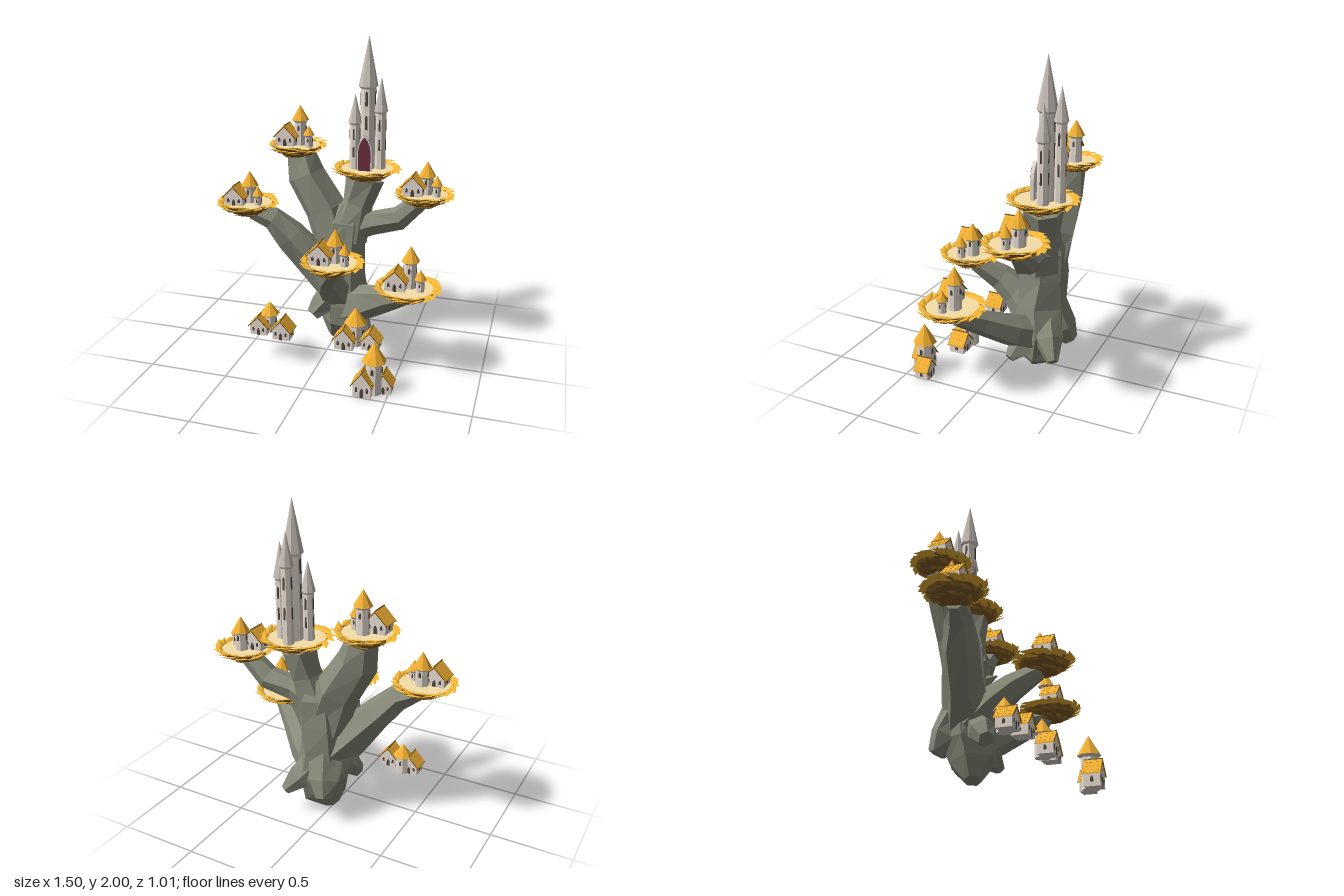
import * as THREE from 'three';
import { mergeGeometries } from 'three/addons/utils/BufferGeometryUtils.js';

const mat = (color, side = THREE.FrontSide) => new THREE.MeshStandardMaterial({ color, side, flatShading: true });
const M = {
  bark: mat(0x888a7a), wall: mat(0xe6dbd0), spire: mat(0xcbc3bb), roof: mat(0xf3b134), trim: mat(0x7a5518),
  window: mat(0x4d443f), gate: mat(0x6c2d3f), floor: mat(0xf6dfa8), leaf: mat(0xf5b736),
  underLeaf: mat(0xa8772c), bowl: mat(0x85602a, THREE.DoubleSide),
};

let seed = 7;
const rnd = () => (seed = (seed * 16807) % 2147483647) / 2147483647;

function add(parent, name, geo, material, x = 0, y = 0, z = 0, ry = 0) {
  const m = new THREE.Mesh(geo, material);
  m.name = name;
  m.position.set(x, y, z);
  m.rotation.y = ry;
  parent.add(m);
  return m;
}

function group(parent, name, x = 0, y = 0, z = 0) {
  const g = new THREE.Group();
  g.name = name;
  g.position.set(x, y, z);
  parent.add(g);
  return g;
}

// Faceted limb through [x, y, z, radius] stations
function limb(stations, sides = 6) {
  const pts = stations.map(s => new THREE.Vector3(s[0], s[1], s[2]));
  const n = pts.length, pos = [], idx = [];
  const all = pts[n - 1].clone().sub(pts[0]).normalize();
  const ref = new THREE.Vector3(Math.abs(all.x) > 0.7 ? 0 : 1, 0, Math.abs(all.x) > 0.7 ? 1 : 0);
  pts.forEach((p, j) => {
    const t = pts[Math.min(j + 1, n - 1)].clone().sub(pts[Math.max(j - 1, 0)]).normalize();
    const u = ref.clone().addScaledVector(t, -ref.dot(t)).normalize();
    const v = t.clone().cross(u);
    for (let i = 0; i < sides; i++) {
      const a = (i + 0.25 * rnd()) / sides * Math.PI * 2;
      const r = stations[j][3] * (0.97 + 0.16 * rnd());
      const q = p.clone().addScaledVector(u, r * Math.cos(a)).addScaledVector(v, r * Math.sin(a));
      pos.push(q.x, q.y, q.z);
    }
  });
  for (let j = 0; j < n - 1; j++) for (let i = 0; i < sides; i++) {
    const k = (i + 1) % sides, a = j * sides + i, b = j * sides + k;
    idx.push(a, b, b + sides, a, b + sides, a + sides);
  }
  for (let i = 1; i < sides - 1; i++) {
    const e = (n - 1) * sides;
    idx.push(0, i + 1, i, e, e + i, e + i + 1);
  }
  const g = new THREE.BufferGeometry();
  g.setAttribute('position', new THREE.Float32BufferAttribute(pos, 3));
  g.setIndex(idx);
  g.computeVertexNormals();
  return g;
}

// Pointed arch slab standing on y = 0
function arch(w, h, depth) {
  const s = new THREE.Shape(), e = Math.max(h - w * 1.1, h * 0.45);
  s.moveTo(-w / 2, 0);
  s.lineTo(w / 2, 0);
  s.lineTo(w / 2, e);
  s.quadraticCurveTo(w * 0.42, e + (h - e) * 0.65, 0, h);
  s.quadraticCurveTo(-w * 0.42, e + (h - e) * 0.65, -w / 2, e);
  return new THREE.ExtrudeGeometry(s, { depth, bevelEnabled: false, curveSegments: 3 });
}

function extrudePoly(points, depth) {
  const g = new THREE.ExtrudeGeometry(new THREE.Shape(points.map(p => new THREE.Vector2(...p))), { depth, bevelEnabled: false });
  return g.translate(0, 0, -depth / 2);
}

// Eight-sided tower: body, short cornice, cone roof and arched windows
function tower(parent, x, y, z, r, bodyH, roofR, roofH, roofMat, winRows, winH) {
  const g = group(parent, 'tower', x, y, z), turn = Math.PI / 8;
  add(g, 'towerWall', new THREE.CylinderGeometry(r * 0.95, r, bodyH, 8), M.wall, 0, bodyH / 2, 0, turn);
  add(g, 'cornice', new THREE.CylinderGeometry(roofR * 0.95, r * 0.94, 0.014, 8), M.wall, 0, bodyH - 0.007, 0, turn);
  add(g, 'towerRoof', new THREE.ConeGeometry(roofR, roofH, 8), roofMat, 0, bodyH + roofH / 2, 0, turn);
  const win = arch(r * 0.32, winH, 0.004), d = r * Math.cos(turn) - 0.002;
  for (const row of winRows) for (let i = 0; i < 4; i++) {
    const a = i * Math.PI / 2;
    add(g, 'towerWindow', win, M.window, Math.sin(a) * d, bodyH * row, Math.cos(a) * d, a);
  }
}

// Gabled cottage, ridge along z; w and d are the roof's footprint
function house(parent, x, y, z, w = 0.148, h = 0.135, d = 0.115) {
  const g = group(parent, 'house', x, y, z), e = h * 0.53, hw = w * 0.41, dw = d * 0.88;
  add(g, 'houseWalls', extrudePoly([[-hw, 0], [hw, 0], [hw, e + 0.001], [0, h - 0.008], [-hw, e + 0.001]], dw), M.wall);
  add(g, 'houseRoof', extrudePoly([[-w / 2, e - 0.012], [-w / 2, e - 0.02], [0, h - 0.011], [w / 2, e - 0.02],
    [w / 2, e - 0.012], [0, h]], d), M.roof);
  // Scattered raised shingles on both slopes
  const slope = Math.atan2(h - e + 0.012, w / 2), shingles = [];
  for (const s of [-1, 1]) for (let i = 0; i < 9; i++) {
    const t = 0.18 + 0.3 * (i % 3) + 0.06 * rnd(), zz = (Math.floor(i / 3) - 1 + 0.4 * (rnd() - 0.5)) * d * 0.3;
    shingles.push(new THREE.BoxGeometry(0.013, 0.004, 0.017).rotateZ(-s * slope)
      .translate(s * t * w / 2, h - t * (h - e + 0.012), zz));
  }
  add(g, 'shingles', mergeGeometries(shingles), M.roof);
  add(g, 'ridge', new THREE.BoxGeometry(0.006, 0.005, d + 0.004), M.trim, 0, h - 0.001, 0);
  for (const s of [-1, 1]) {
    add(g, 'bargeboard', extrudePoly([[-w / 2, e - 0.014], [-w / 2, e - 0.021], [0, h - 0.012], [w / 2, e - 0.021],
      [w / 2, e - 0.014], [0, h - 0.005]], 0.003), M.trim, 0, 0, s * (d / 2 + 0.001));
    const ry = s > 0 ? 0 : Math.PI, zf = s * (dw / 2 - 0.002);
    add(g, 'door', arch(w * 0.15, h * 0.36, 0.004), M.window, 0, 0, zf, ry);
    for (const k of [-1, 1]) add(g, 'houseWindow', arch(w * 0.1, h * 0.2, 0.004), M.window, k * hw * 0.6, h * 0.2, zf, ry);
    add(g, 'sideWindow', arch(0.018, h * 0.22, 0.004), M.window, s * (hw - 0.002), h * 0.15, 0, s * Math.PI / 2);
  }
}

// Ring of broad pointed leaves, swept outwards like a pinwheel
function leafRing(radius, y, count, length, width, lift, sweep = 0.35) {
  const parts = [];
  for (let i = 0; i < count; i++) {
    const leaf = new THREE.OctahedronGeometry(1).scale(length * (0.46 + 0.14 * rnd()), 0.007, width / 2);
    leaf.rotateX(0.3).rotateZ(lift + 0.2 * (rnd() - 0.5)).rotateY(-Math.PI / 2 + sweep + 0.25 * (rnd() - 0.5));
    leaf.translate(radius, y + 0.012 * (rnd() - 0.5), 0).rotateY((i + 0.4 * rnd()) / count * Math.PI * 2);
    parts.push(leaf);
  }
  return mergeGeometries(parts);
}

// Nest platform: bowl, floor and layers of leaves; y is the rim height
function nest(parent, x, y, z, r) {
  const g = group(parent, 'nest', x, y, z), k = r / 0.19;
  const profile = [[0.001, -0.085], [0.06, -0.08], [0.105, -0.058], [0.148, -0.025], [0.165, -0.002]];
  add(g, 'bowl', new THREE.LatheGeometry(profile.map(p => new THREE.Vector2(p[0] * k, p[1])), 14), M.bowl);
  add(g, 'nestFloor', new THREE.CylinderGeometry(0.155 * k, 0.135 * k, 0.012, 18), M.floor, 0, -0.012, 0);
  add(g, 'rimLeaves', leafRing(0.165 * k, 0.004, 18, 0.115 * k, 0.046, 0.12), M.leaf);
  add(g, 'outerLeaves', leafRing(0.165 * k, -0.012, 16, 0.115 * k, 0.044, 0.05, 0.45), M.leaf);
  add(g, 'lowerLeaves', leafRing(0.133 * k, -0.034, 14, 0.095 * k, 0.04, 0.15), M.underLeaf);
  add(g, 'bottomLeaves', leafRing(0.09 * k, -0.063, 11, 0.08 * k, 0.036, 0.15), M.underLeaf);
}

// House, tall tower and small tower on a nest
function hamlet(parent, x, base, z, peak) {
  const g = group(parent, 'hamlet', x, base, z);
  house(g, -0.062, 0, 0.032);
  tower(g, 0.01, -0.02, -0.025, 0.041, peak - 0.077, 0.056, 0.097, M.roof, [0.62], 0.035);
  tower(g, 0.08, -0.01, 0.02, 0.026, 0.078, 0.036, 0.063, M.roof, [0.45], 0.025);
}

export function createModel() {
  const model = new THREE.Group();
  model.name = 'treeTown';

  // Trunk, branches and roots
  const tree = group(model, 'tree');
  const limbs = {
    trunk: [[0.01, 0.02, -0.175, 0.05], [0.05, 0.13, -0.2, 0.14], [0.05, 0.27, -0.215, 0.165], [0.04, 0.45, -0.22, 0.15],
      [0.04, 0.65, -0.235, 0.145], [0.05, 0.82, -0.25, 0.13], [0.06, 0.93, -0.26, 0.06]],
    upperLeftBranch: [[0.0, 0.62, -0.23, 0.13], [-0.09, 0.88, -0.245, 0.13], [-0.22, 1.1, -0.27, 0.115], [-0.26, 1.24, -0.28, 0.085]],
    leftBranch: [[0.02, 0.36, -0.21, 0.14], [-0.14, 0.54, -0.18, 0.115], [-0.29, 0.72, -0.14, 0.1], [-0.4, 0.84, -0.1, 0.075],
      [-0.52, 0.89, -0.07, 0.055]],
    castleBranch: [[0.06, 0.72, -0.24, 0.13], [0.13, 0.94, -0.26, 0.1], [0.165, 1.11, -0.28, 0.115]],
    upperRightBranch: [[0.06, 0.77, -0.24, 0.1], [0.23, 0.82, -0.25, 0.075], [0.4, 0.86, -0.27, 0.07], [0.53, 0.98, -0.28, 0.055]],
    frontBranch: [[0.02, 0.34, -0.18, 0.13], [0, 0.47, -0.04, 0.1], [0.02, 0.56, 0.07, 0.08], [0.09, 0.66, 0.21, 0.055]],
    lowerRightBranch: [[0.07, 0.24, -0.2, 0.13], [0.24, 0.33, -0.11, 0.1], [0.41, 0.43, 0.01, 0.075], [0.54, 0.51, 0.1, 0.055]],
    frontRoot: [[0, 0.38, -0.18, 0.08], [-0.06, 0.28, -0.09, 0.085], [-0.11, 0.22, -0.04, 0.045]],
    rightRoot: [[0.06, 0.26, -0.18, 0.12], [0.18, 0.18, -0.13, 0.08], [0.25, 0.13, -0.1, 0.03]],
    backRoot: [[0, 0.44, -0.25, 0.11], [-0.03, 0.28, -0.33, 0.1], [-0.05, 0.18, -0.38, 0.05]],
    backRightRoot: [[0.04, 0.38, -0.24, 0.11], [0.15, 0.25, -0.32, 0.085], [0.23, 0.16, -0.38, 0.035]],
    sideThorn: [[0.04, 0.62, -0.12, 0.04], [0.07, 0.66, -0.05, 0.005]],
  };
  for (const [name, stations] of Object.entries(limbs)) add(tree, name, limb(stations), M.bark);

  // Nests with hamlets: x, rim y, z, radius, ground level of the houses, tower height
  const nests = [
    [-0.28, 1.295, -0.28, 0.187, 1.298, 0.25], [-0.55, 0.95, -0.055, 0.195, 0.937, 0.213],
    [0.553, 1.035, -0.28, 0.187, 1.033, 0.207], [0.105, 0.725, 0.24, 0.189, 0.727, 0.2], [0.54, 0.57, 0.13, 0.2, 0.57, 0.257],
  ];
  for (const [x, y, z, r, base, peak] of nests) {
    nest(model, x, y, z, r);
    hamlet(model, x, base, z, peak);
  }

  // Castle on its own nest
  nest(model, 0.18, 1.175, -0.28, 0.214);
  const castle = group(model, 'castle', 0, 1.155, 0);
  tower(castle, 0.177, 0, -0.3, 0.049, 0.535, 0.062, 0.31, M.spire, [0.5, 0.78], 0.09);
  tower(castle, 0.103, 0, -0.268, 0.034, 0.31, 0.044, 0.18, M.spire, [0.3, 0.66], 0.07);
  tower(castle, 0.257, 0, -0.312, 0.035, 0.38, 0.044, 0.215, M.spire, [0.35, 0.68], 0.075);
  tower(castle, 0.172, 0, -0.382, 0.034, 0.48, 0.042, 0.195, M.spire, [0.35, 0.72], 0.075);
  add(castle, 'gateFrame', arch(0.094, 0.24, 0.022), M.wall, 0.177, 0, -0.24);
  add(castle, 'gate', arch(0.078, 0.228, 0.006), M.gate, 0.177, 0, -0.22);

  // Cottages and towers below the tree
  const village = group(model, 'lowerVillage');
  house(village, -0.382, 0.17, 0.192, 0.135, 0.13, 0.108);
  house(village, -0.222, 0.17, 0.218, 0.135, 0.135, 0.112);
  tower(village, -0.333, 0.17, 0.155, 0.044, 0.12, 0.063, 0.08, M.roof, [0.5], 0.03);
  house(village, 0.185, 0.17, 0.225, 0.14, 0.145, 0.112);
  house(village, 0.34, 0.17, 0.192, 0.13, 0.125, 0.108);
  tower(village, 0.235, 0.17, 0.175, 0.05, 0.145, 0.071, 0.1, M.roof, [0.5], 0.035);
  house(village, 0.358, 0, 0.445, 0.132, 0.17, 0.112);
  house(village, 0.47, 0, 0.378, 0.112, 0.135, 0.096);
  tower(village, 0.41, 0, 0.408, 0.054, 0.205, 0.074, 0.125, M.roof, [0.65], 0.04);
  return model;
}
